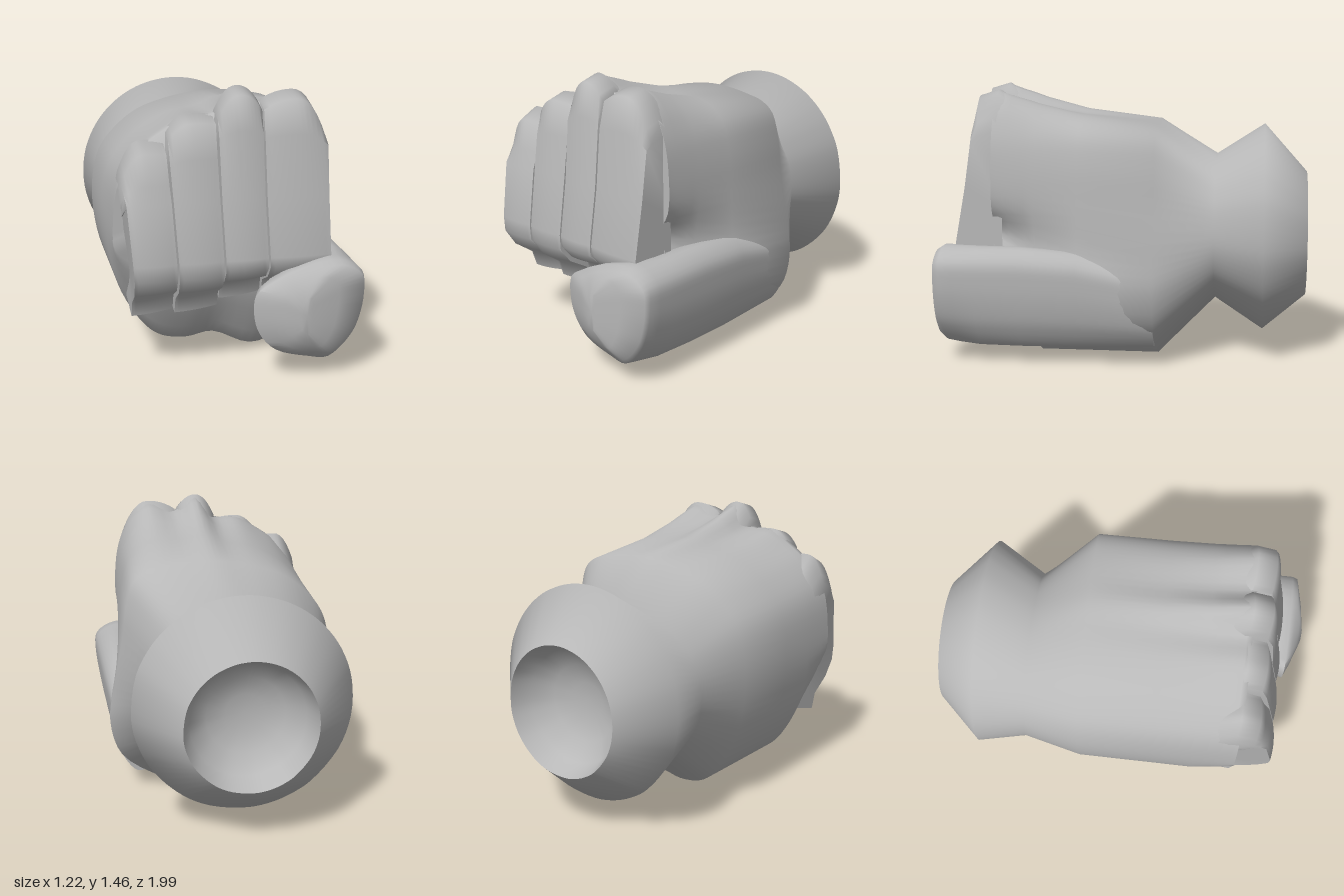
import * as THREE from 'three';
import { toCreasedNormals } from 'three/addons/utils/BufferGeometryUtils.js';

const { lerp, clamp } = THREE.MathUtils;

// Surface from equal-length rows of points
function skin(rows, closed, crease) {
  const n = rows[0].length, pos = [], idx = [];
  rows.forEach(r => r.forEach(p => pos.push(...p)));
  const steps = closed ? n : n - 1;
  for (let i = 0; i < rows.length - 1; i++) {
    for (let j = 0; j < steps; j++) {
      const a = i * n + j, b = i * n + (j + 1) % n;
      // rings run counter-clockwise going forward; open strips run downwards
      if (closed) idx.push(a, b, b + n, a, b + n, a + n);
      else idx.push(a, a + n, b + n, a, b + n, b);
    }
  }
  // cap both ends of a closed skin
  if (closed) {
    [0, rows.length - 1].forEach(i => {
      const c = pos.length / 3, mid = [0, 0, 0];
      rows[i].forEach(p => p.forEach((v, k) => { mid[k] += v / n; }));
      pos.push(...mid);
      for (let j = 0; j < n; j++) {
        const a = i * n + j, b = i * n + (j + 1) % n;
        if (i === 0) idx.push(c, b, a); else idx.push(c, a, b);
      }
    });
  }
  const g = new THREE.BufferGeometry();
  g.setAttribute('position', new THREE.Float32BufferAttribute(pos, 3));
  g.setIndex(idx);
  return toCreasedNormals(g, crease);
}

// Smooth closed ring through a few outline points at depth z
function ring(points, z, count) {
  const curve = new THREE.CatmullRomCurve3(points.map(p => new THREE.Vector3(p[0], p[1], z)), true, 'centripetal');
  return Array.from({ length: count }, (_, i) => curve.getPoint(i / count).toArray());
}

// Hand outline, counter-clockwise from the thumb pad:
// x, y at the heel of the hand, then x, y at the knuckles
const HAND = [
  [.15, 0, .15, 0], [.32, .055, .32, .055], [.53, .2, .42, .2], [.59, .4, .46, .42], [.565, .59, .4, .65],
  [.515, .85, .48, .83], [.49, 1.04, .485, 1.05], [.45, 1.17, .455, 1.21], [.38, 1.225, .385, 1.35],
  [.28, 1.25, .29, 1.42], [.13, 1.27, .13, 1.375], [.01, 1.27, .01, 1.45], [-.1, 1.255, -.1, 1.33],
  [-.23, 1.225, -.23, 1.325], [-.35, 1.18, -.35, 1.26], [-.46, 1.1, -.46, 1.18], [-.565, .97, -.57, 1.03],
  [-.61, .78, -.61, .78], [-.6, .55, -.6, .55], [-.545, .35, -.545, .35], [-.42, .15, -.42, .15],
  [-.33, .085, -.33, .085], [-.2, .065, -.2, .065], [-.06, .085, -.06, .085],
];

// Thumb outline in a 0..1 box
const THUMB = [[.69, 0], [.88, .2], [.96, .4], [1, .66], [.98, .87], [.77, 1], [.38, .92], [.18, .82],
  [.02, .7], [0, .5], [.05, .3], [.2, .12], [.5, .02]];

function handGeometry() {
  // hollow wrist opening, rim, flared cuff and neck: z, cx, cy, rx, ry
  const cuff = [
    [-.78, -.045, .64, .1, .1], [-.81, -.045, .64, .2, .2], [-.88, -.045, .64, .29, .295], [-.99, -.045, .64, .335, .34],
    [-.76, -.04, .675, .56, .565], [-.5, -.09, .67, .46, .4],
  ].map(([z, cx, cy, rx, ry]) => ring(HAND.map(([x, y]) => {
    const a = Math.atan2((y - .65) / .63, (x + .03) / .58);
    return [cx + rx * Math.cos(a), cy + ry * Math.sin(a)];
  }), z, 96));
  // hand: z, blend from heel to knuckles, rise of the palm underside
  const hand = [
    [-.2, 0, 0], [.2, .28, 0], [.43, .62, 0], [.48, .72, .09], [.57, .88, .25], [.62, .98, .38], [.65, .96, .5],
  ].map(([z, t, m]) => ring(HAND.map(([x0, y0, x1, y1]) => {
    const y = lerp(y0, y1, t);
    return [lerp(x0, x1, t), y > .7 ? y : m + y * (1 - m / .7)];
  }), z, 96));
  return skin([...cuff, ...hand], true, 1.55);
}

function thumbGeometry() {
  // z, x range, y range
  const rows = [
    [-.2, .2, .56, .1, .5], [.2, .21, .59, .09, .6], [.5, .21, .6, .09, .62],
    [.72, .17, .605, .09, .62], [.84, .07, .608, .095, .62], [.91, .045, .608, .105, .62],
    [.94, .11, .6, .14, .6], [.97, .19, .46, .19, .555], [.995, .26, .32, .27, .46],
  ].map(([z, x0, x1, y0, y1]) =>
    ring(THUMB.map(([u, v]) => [lerp(x0, x1, u), lerp(y0, y1, v)]), z, 52));
  return skin(rows, true, 1.2);
}

// Curled finger: x edges at top and bottom, knuckle height, edge drops, knuckle slope, fingertip lift
function fingerGeometry({ top, bottom, peak, drops, slope, lift }) {
  // outer z, y, inner z, y, share of the knuckle drop, share of the fingertip slant
  const path = [
    [.46, peak - .13, .45, peak - .4, 1, 0], [.64, peak, .5, peak - .4, 1, 0], [.74, peak - slope, .52, peak - .4, 1, 0],
    [.775, peak - .2, .58, peak - .42, .3, 0], [.81, .92, .6, .8, 0, 0],
    [.862, .63, .6, .65, 0, 0], [.86, .55 + lift * .4, .6, .6, 0, 0], [.8, .46 + lift * .7, .6, .56, 0, .5],
    [.69, .385 + lift, .56, .52, 0, 1], [.66, .3 + lift, .5, .48, 0, 1], [.45, .36 + lift, .45, .45, 0, 1],
  ];
  const n = 12;
  const rows = path.map(([z, y, zi, yi, knuckle, slant]) => {
    const t = clamp((1.2 - y) / .8, 0, 1);
    const x0 = lerp(top[0], bottom[0], t) + .005;
    const x1 = lerp(top[1], bottom[1], t) - .005;
    const row = [[x0, yi, zi]];
    for (let i = 0; i <= n; i++) {
      const s = i / n * 2 - 1;
      const drop = knuckle * drops[s < 0 ? 0 : 1] * Math.abs(s) ** 2.2;
      row.push([lerp(x0, x1, i / n), y - drop + slant * .025 * i / n, z - .012 * s * s]);
    }
    row.push([x1, yi, zi]);
    return row;
  });
  return skin(rows, false, 1.15);
}

export function createModel() {
  const group = new THREE.Group();
  const grey = new THREE.MeshStandardMaterial({ color: 0xb8b8b8, side: THREE.DoubleSide });
  grey.name = 'plain grey';

  const add = (name, geometry) => {
    const mesh = new THREE.Mesh(geometry, grey);
    mesh.name = name;
    group.add(mesh);
  };

  add('handAndCuff', handGeometry());
  add('thumb', thumbGeometry());

  const fingers = {
    littleFinger: { top: [-.585, -.35], bottom: [-.53, -.31], peak: 1.21, drops: [.15, .01], slope: .05, lift: 0 },
    ringFinger: { top: [-.35, -.105], bottom: [-.31, -.08], peak: 1.33, drops: [.08, .01], slope: .03, lift: 0 },
    middleFinger: { top: [-.105, .125], bottom: [-.08, .142], peak: 1.46, drops: [.12, .08], slope: .03, lift: .06 },
    indexFinger: { top: [.125, .455], bottom: [.142, .46], peak: 1.43, drops: [.05, .21], slope: .03, lift: .07 },
  };
  for (const [name, spec] of Object.entries(fingers)) add(name, fingerGeometry(spec));
  return group;
}
